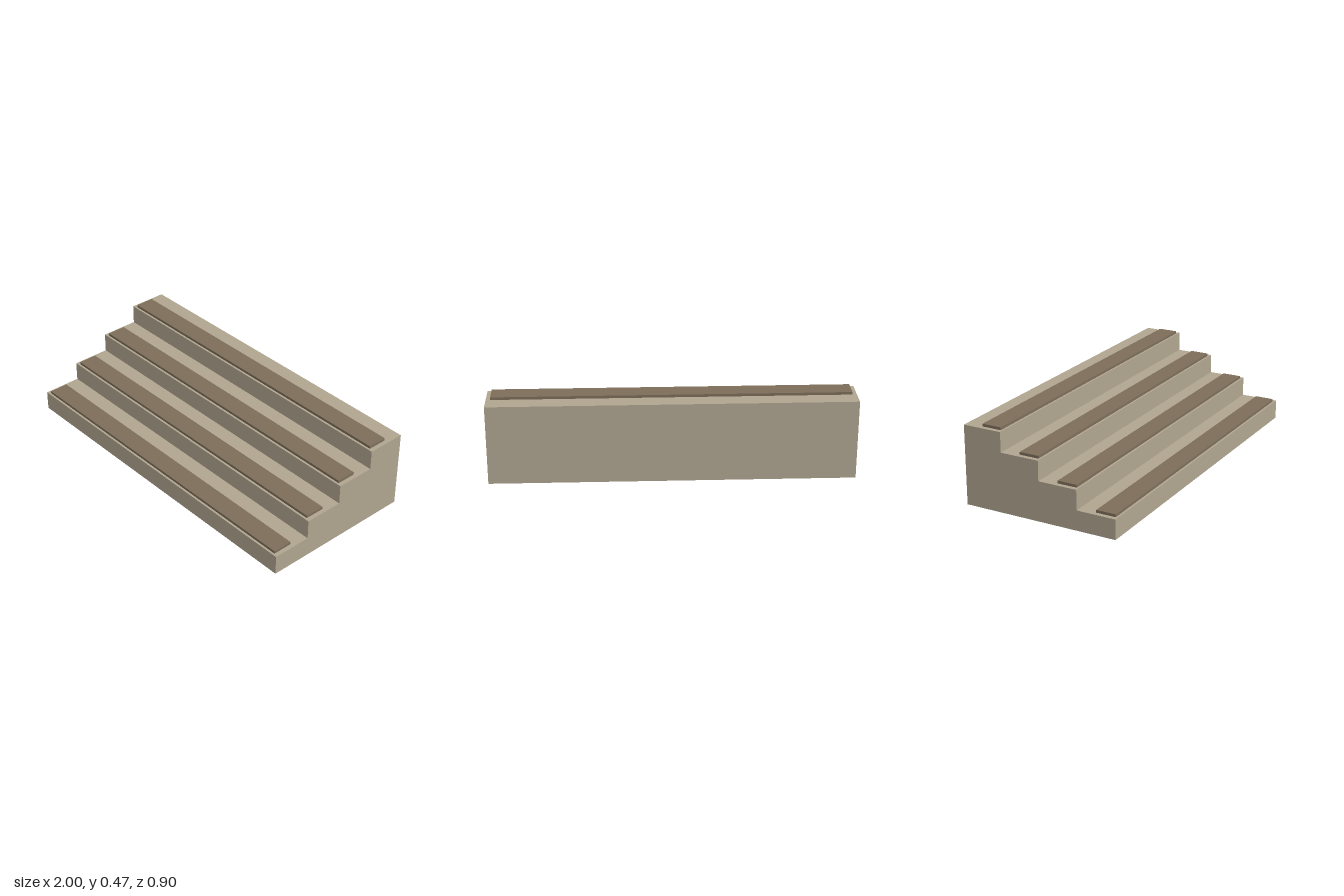
import * as THREE from 'three';

const STEPS = 4, WIDTH = 2, RUN = 0.225, RISE = 0.1125;
const FRONT = (STEPS * RUN) / 2;

export function createModel() {
  const stone = new THREE.MeshStandardMaterial({ color: 0xb0a590 });
  stone.name = 'stone';
  const grip = new THREE.MeshStandardMaterial({ color: 0x7d6e5a });
  grip.name = 'grip strip';

  const stairs = new THREE.Group();
  stairs.name = 'stairs';

  // Solid stair body: stepped side profile extruded across the width
  const profile = new THREE.Shape();
  profile.moveTo(-FRONT, 0);
  profile.lineTo(FRONT, 0);
  profile.lineTo(FRONT, STEPS * RISE);
  for (let i = STEPS - 1; i >= 0; i--) {
    profile.lineTo(-FRONT + i * RUN, (i + 1) * RISE);
    if (i > 0) profile.lineTo(-FRONT + i * RUN, i * RISE);
  }
  const bodyGeometry = new THREE.ExtrudeGeometry(profile, { depth: WIDTH, bevelEnabled: false });
  bodyGeometry.translate(0, 0, -WIDTH / 2).rotateY(Math.PI / 2);
  const body = new THREE.Mesh(bodyGeometry, stone);
  body.name = 'stairBody';
  stairs.add(body);

  // Raised grip strip near the front edge of every step
  const stripHeight = 0.015, stripDepth = 0.1125, setback = 0.0125;
  const stripGeometry = new THREE.BoxGeometry(1.95, stripHeight, stripDepth);
  for (let i = 0; i < STEPS; i++) {
    const strip = new THREE.Mesh(stripGeometry, grip);
    strip.name = `gripStrip${i + 1}`;
    strip.position.set(0, (i + 1) * RISE + stripHeight / 2, FRONT - i * RUN - setback - stripDepth / 2);
    stairs.add(strip);
  }
  return stairs;
}
